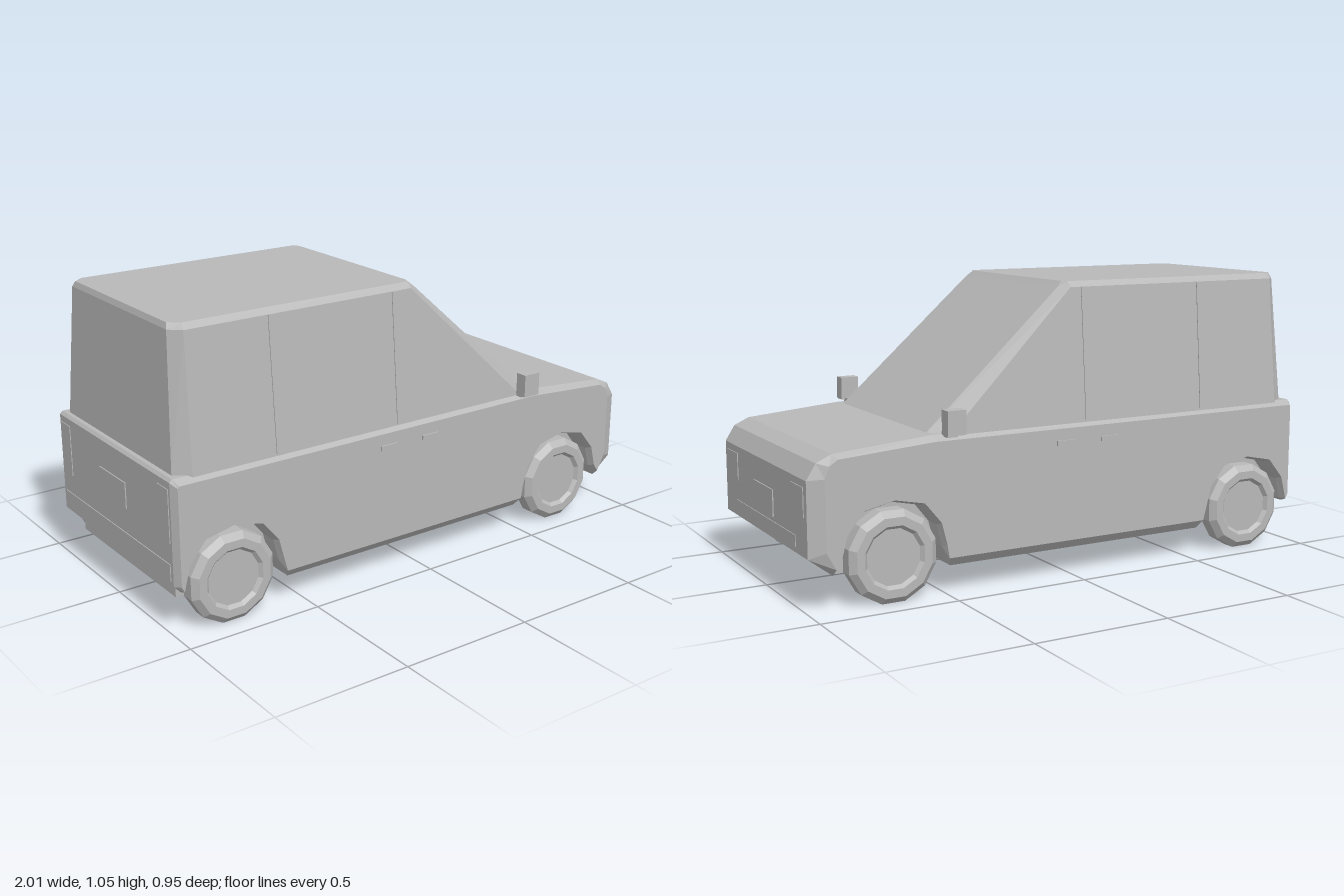
import * as THREE from 'three';

export function createModel() {
  const car = new THREE.Group();
  car.name = 'car';
  const grey = new THREE.MeshStandardMaterial({ color: 0xb8b8b8, flatShading: true });
  grey.name = 'grey paint';

  const add = (name, geometry, x = 0, y = 0, z = 0) => {
    const mesh = new THREE.Mesh(geometry, grey);
    mesh.name = name;
    mesh.position.set(x, y, z);
    car.add(mesh);
    return mesh;
  };
  const box = (name, w, h, d, x, y, z) => add(name, new THREE.BoxGeometry(w, h, d), x, y, z);

  // Joins counter-clockwise outlines [points, z] into a closed solid
  function loft(rings) {
    const n = rings[0][0].length;
    const positions = rings.flatMap(([pts, z]) => pts.flatMap(([x, y]) => [x, y, z]));
    const index = [];
    for (let r = 0; r < rings.length - 1; r++) {
      for (let i = 0; i < n; i++) {
        const a = r * n + i, b = r * n + (i + 1) % n;
        index.push(a, b, b + n, a, b + n, a + n);
      }
    }
    const cap = (r, flip) => {
      const pts = rings[r][0].map(([x, y]) => new THREE.Vector2(x, y));
      for (const [a, b, c] of THREE.ShapeUtils.triangulateShape(pts, [])) {
        index.push(r * n + a, r * n + (flip ? c : b), r * n + (flip ? b : c));
      }
    };
    cap(0, true);
    cap(rings.length - 1, false);
    const g = new THREE.BufferGeometry();
    g.setAttribute('position', new THREE.Float32BufferAttribute(positions, 3));
    g.setIndex(index);
    const flat = g.toNonIndexed();
    flat.computeVertexNormals();
    return flat;
  }

  // Lower body: bevelled side profile with wheel arches
  const frontX = 0.70, rearX = -0.78;
  const arch = (cx, grow) =>
    [[0.185, 0.17], [0.165, 0.25], [0.105, 0.325], [0, 0.348], [-0.105, 0.325], [-0.165, 0.25], [-0.185, 0.17]]
      .map(([x, y]) => [cx + x * (1 + grow * 4), y + grow]);
  const profile = (top, sillY, sillInset, grow) => [
    ...top,
    ...arch(frontX, grow),
    [0.485 - sillInset, sillY], [-0.56 + sillInset, sillY],
    ...arch(rearX, grow),
  ].reverse();
  const outer = profile([[-0.975, 0.16], [-1, 0.185], [-1, 0.55], [-0.99, 0.56], [0.55, 0.56],
    [0.91, 0.53], [0.965, 0.505], [1, 0.45], [1, 0.19], [0.915, 0.125]], 0.10, 0, 0);
  const side = profile([[-0.975, 0.17], [-0.985, 0.19], [-0.985, 0.535], [-0.98, 0.542], [0.55, 0.54],
    [0.9, 0.515], [0.93, 0.495], [0.945, 0.455], [0.945, 0.21], [0.912, 0.15]], 0.133, -0.015, 0.01);
  add('lowerBody', loft([[side, -0.432], [outer, -0.405], [outer, 0.405], [side, 0.432]]));

  // Cabin: octagonal sections, tapering towards the roof
  const section = (half) => [...half, ...half.map(([x, z]) => [x, -z]).reverse()].reverse();
  const cabin = loft([
    [section([[-0.975, 0.375], [-0.92, 0.415], [0.49, 0.415], [0.56, 0.36]]), 0.55],
    [section([[-0.95, 0.337], [-0.91, 0.375], [-0.012, 0.375], [0.022, 0.343]]), 1.03],
    [section([[-0.943, 0.325], [-0.905, 0.355], [-0.012, 0.355], [0, 0.33]]), 1.05],
  ]);
  cabin.rotateX(-Math.PI / 2);
  add('cabin', cabin);

  // Wheels: low-poly tyre with a recessed hub
  const tyre = [[0, 0], [0.145, 0], [0.165, 0.018], [0.165, 0.068], [0.142, 0.088],
    [0.112, 0.088], [0.1, 0.075], [0, 0.075]].map(([x, y]) => new THREE.Vector2(x, y));
  const wheel = new THREE.LatheGeometry(tyre, 12, Math.PI / 12).rotateX(Math.PI / 2);
  for (const cx of [frontX, rearX]) {
    const axle = cx === frontX ? 'front' : 'rear';
    box(axle + 'Underbody', 0.36, 0.25, 0.68, cx, 0.235, 0);
    for (const s of [1, -1]) {
      const w = add(axle + 'Wheel', wheel, cx, 0.161, s * 0.34);
      if (s < 0) w.rotation.y = Math.PI;
    }
  }

  // Parts repeated on both sides
  for (const s of [1, -1]) {
    box('mirror', 0.07, 0.085, 0.045, 0.49, 0.605, s * 0.453);
    box('mirrorStem', 0.04, 0.018, 0.045, 0.49, 0.56, s * 0.42);
    for (const x of [-0.58, -0.075]) {
      box('windowPillar', 0.04, 0.47, 0.008, x, 0.795, s * 0.394).rotation.x = -s * 0.083;
    }
    for (const x of [-0.145, 0.04]) box('doorHandle', 0.07, 0.018, 0.01, x, 0.49, s * 0.433);
    box('headlight', 0.006, 0.1, 0.11, 1, 0.375, s * 0.325);
    box('tailLight', 0.006, 0.19, 0.07, -1, 0.43, s * 0.36);
  }

  // Plates and grille
  box('frontPlate', 0.008, 0.095, 0.19, 1, 0.315, 0);
  box('rearPlate', 0.008, 0.095, 0.19, -1, 0.4, 0);
  box('grille', 0.005, 0.04, 0.6, 1, 0.23, 0);
  box('rearBumper', 0.006, 0.06, 0.78, -1, 0.23, 0);

  return car;
}
